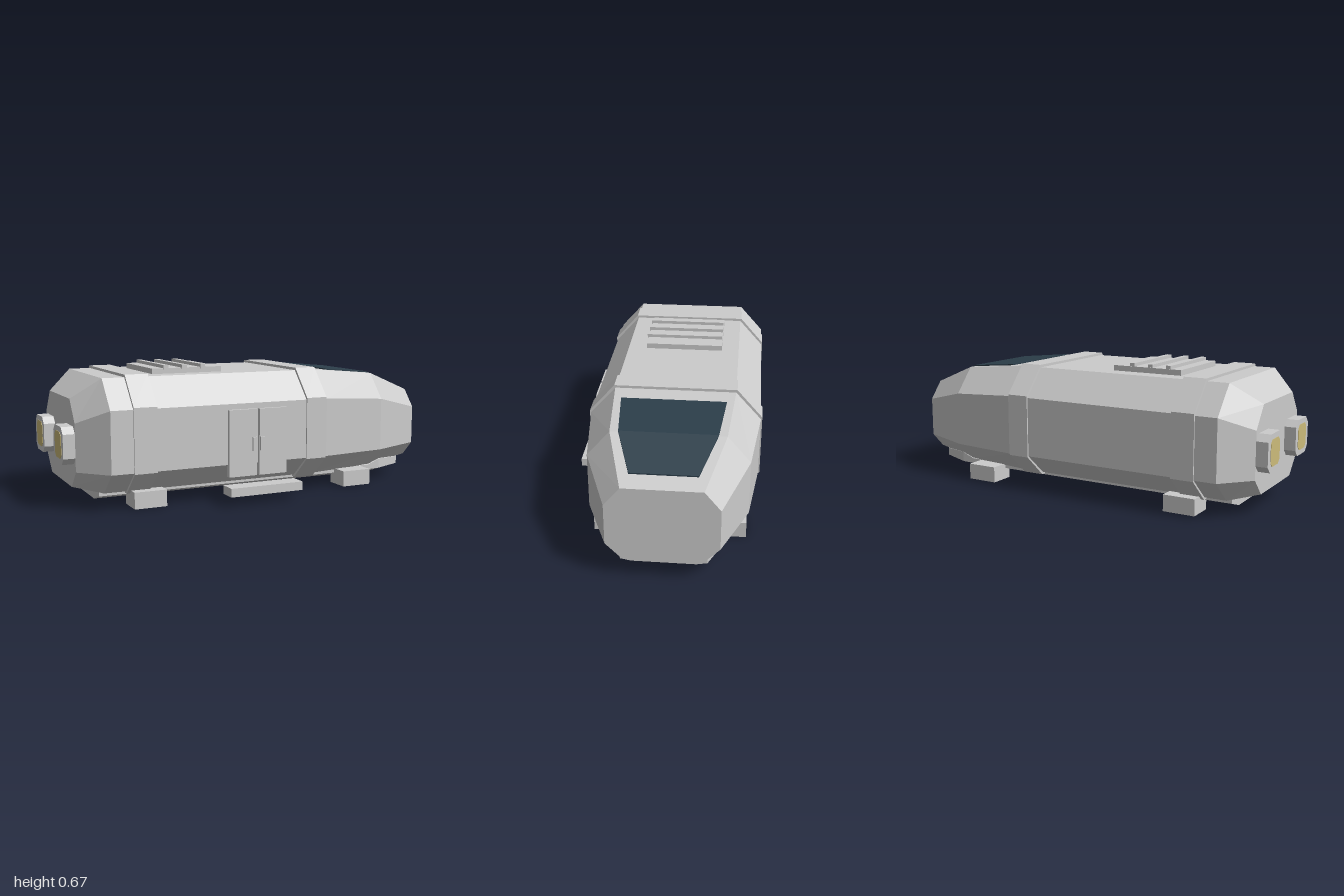
import * as THREE from 'three';

const CZ = -0.05; // hull centre line in z

const material = (name, color, extra = {}) => {
  const m = new THREE.MeshStandardMaterial({ color, flatShading: true, ...extra });
  m.name = name;
  return m;
};

// Octagonal station: half width, top and bottom flat half widths, then four heights
const oct = (x, w, wt, wb, yb, yl, yu, yt) => ({
  x,
  pts: [[w, yl], [w, yu], [wt, yt], [-wt, yt], [-w, yu], [-w, yl], [-wb, yb], [wb, yb]],
});

// Four-cornered station for thin plates
const slab = (x, w, yb, yt) => ({ x, pts: [[w, yb], [w, yt], [-w, yt], [-w, yb]] });

// Skin stations along x and close both ends
function loft(stations, cz = CZ) {
  const n = stations[0].pts.length;
  const pos = [];
  const idx = [];
  for (const s of stations) for (const [z, y] of s.pts) pos.push(s.x, y, z + cz);
  for (let k = 0; k < stations.length - 1; k++) {
    for (let i = 0; i < n; i++) {
      const j = (i + 1) % n;
      const a = k * n + i, b = a + n, c = (k + 1) * n + j, d = k * n + j;
      idx.push(a, b, c, a, c, d);
    }
  }
  const last = (stations.length - 1) * n;
  for (let i = 1; i < n - 1; i++) {
    idx.push(0, i, i + 1);
    idx.push(last, last + i + 1, last + i);
  }
  const g = new THREE.BufferGeometry();
  g.setAttribute('position', new THREE.Float32BufferAttribute(pos, 3));
  g.setIndex(idx);
  const flat = g.toNonIndexed();
  flat.computeVertexNormals();
  return flat;
}

export function createModel() {
  const group = new THREE.Group();
  group.name = 'shuttle';
  const grey = material('hullGrey', 0xcccccc);
  const glass = material('windowGlass', 0x2c3e4a);
  const glow = material('engineYellow', 0xccbb7a);

  const add = (name, geometry, mat = grey) => {
    const mesh = new THREE.Mesh(geometry, mat);
    mesh.name = name;
    group.add(mesh);
    return mesh;
  };
  // Box given by its limits on each axis
  const box = (name, x0, x1, y0, y1, z0, z1) => {
    const m = add(name, new THREE.BoxGeometry(x1 - x0, y1 - y0, z1 - z0));
    m.position.set((x0 + x1) / 2, (y0 + y1) / 2, (z0 + z1) / 2);
  };

  // Main hull, tapered at tail and nose
  add('hull', loft([
    oct(-0.94, 0.28, 0.197, 0.197, 0.10, 0.185, 0.417, 0.525),
    oct(-0.81, 0.42, 0.295, 0.295, 0.075, 0.185, 0.485, 0.625),
    oct(0.34, 0.42, 0.295, 0.295, 0.075, 0.185, 0.485, 0.625),
    oct(0.705, 0.378, 0.268, 0.268, 0.085, 0.185, 0.46, 0.59),
    oct(1.0, 0.258, 0.183, 0.183, 0.108, 0.185, 0.388, 0.48),
  ]));

  // Raised bands around the hull
  for (const [x0, x1] of [[-0.7, -0.585], [0.22, 0.333]]) {
    add('hullBand', loft([x0, x1].map((x) => oct(x, 0.427, 0.301, 0.301, 0.064, 0.18, 0.494, 0.638))));
  }

  // Belly keel with upturned front
  add('bellyKeel', loft([
    oct(-0.83, 0.275, 0.27, 0.19, 0.03, 0.058, 0.08, 0.085),
    oct(0.7, 0.275, 0.27, 0.19, 0.03, 0.058, 0.084, 0.089),
    oct(0.77, 0.275, 0.27, 0.19, 0.03, 0.06, 0.112, 0.117),
    oct(0.94, 0.2, 0.195, 0.15, 0.05, 0.06, 0.1, 0.105),
  ]));

  // Windscreen plate following the nose slope
  add('windscreen', loft([
    slab(0.43, 0.253, 0.614, 0.622),
    slab(0.705, 0.228, 0.588, 0.596),
    slab(0.925, 0.154, 0.506, 0.514),
  ]), glass);

  // Roof vent with three slats
  box('roofVent', -0.525, -0.155, 0.615, 0.652, -0.255, 0.147);
  for (const x of [-0.455, -0.357, -0.257]) {
    box('ventSlat', x - 0.013, x + 0.013, 0.645, 0.668, -0.252, 0.153);
  }

  // Double door with handles, and the step below it
  for (const side of [-1, 1]) {
    const seam = -0.0615;
    const span = (a, b) => [seam + side * a, seam + side * b].sort((p, q) => p - q);
    box('doorPanel', ...span(0.007, 0.158), 0.125, 0.457, 0.36, 0.388);
    box('doorHandle', ...span(0.008, 0.033), 0.25, 0.318, 0.38, 0.4);
  }
  box('step', -0.25, 0.142, 0.047, 0.09, 0.385, 0.475);

  // Landing feet
  for (const x of [-0.602, 0.563]) {
    for (const z of [CZ - 0.305, CZ + 0.305]) {
      box('landingFoot', x - 0.082, x + 0.082, 0, 0.082, z - 0.066, z + 0.066);
    }
  }

  // Rear engines with glowing outlets
  const outlet = (x, w, h, c) => oct(x, w, w - c, w - c, 0.31 - h, 0.31 - h + c, 0.31 + h - c, 0.31 + h);
  for (const z of [CZ - 0.19, CZ + 0.19]) {
    add('engine', loft([outlet(-0.998, 0.09, 0.09, 0.032), outlet(-0.935, 0.09, 0.09, 0.032)], z));
    add('engineOutlet', loft([outlet(-1.0, 0.058, 0.064, 0.02), outlet(-0.994, 0.058, 0.064, 0.02)], z), glow);
  }
  return group;
}
